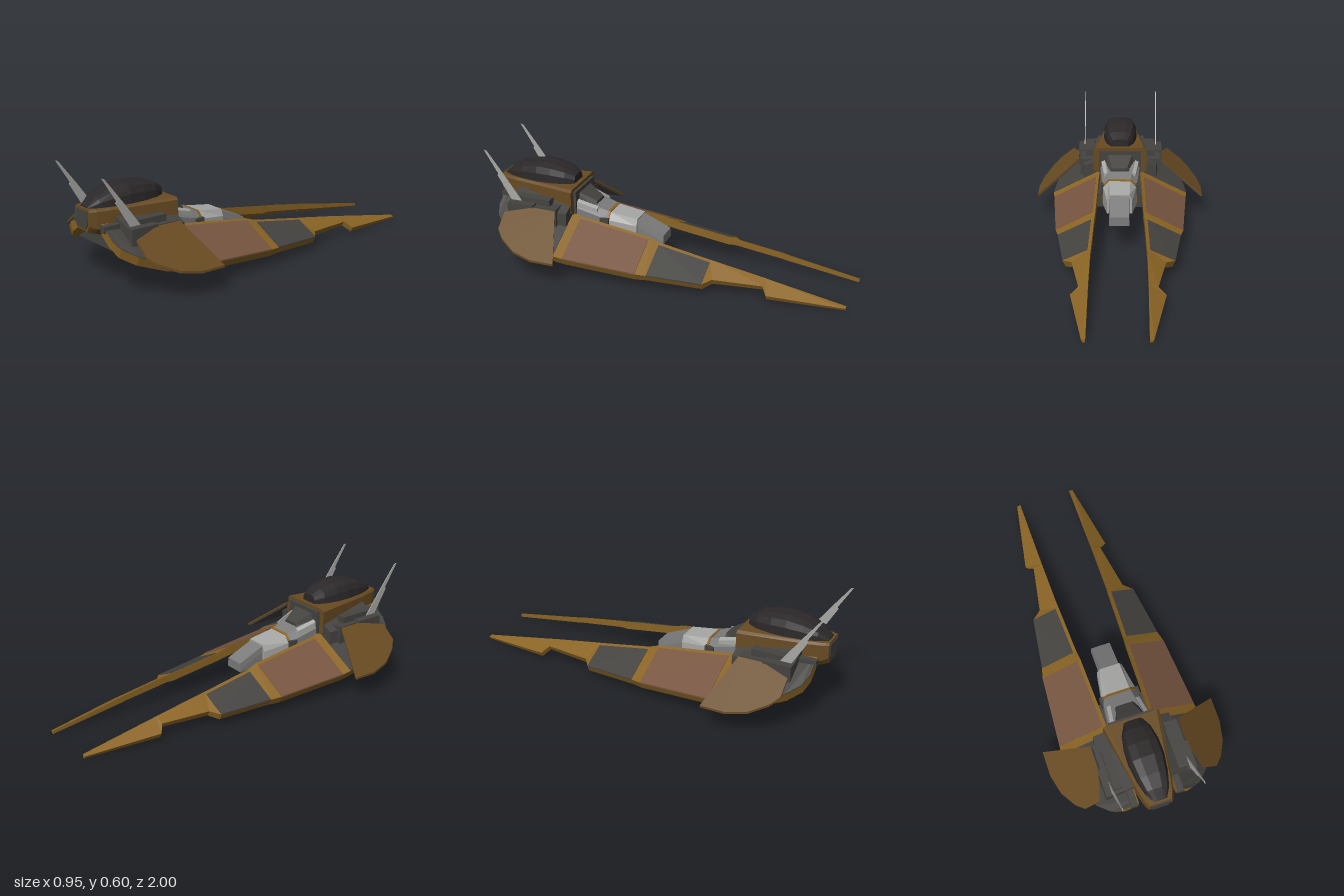
import * as THREE from 'three';

const mat = (color) => new THREE.MeshStandardMaterial({ color, flatShading: true });
const GOLD = mat(0x8a6424), TAN = mat(0x684b22), BROWN = mat(0x775540), DARK = mat(0x444340);
const GLASS = mat(0x2c2829), GREY = mat(0xa8a8a6), MID = mat(0x7c7c7c);

// Closed faceted solid skinned over rings of equal point count
function solid(rings) {
  const tris = [], n = rings[0].length, last = rings[rings.length - 1];
  for (let i = 0; i + 1 < rings.length; i++) {
    for (let j = 0; j < n; j++) {
      const k = (j + 1) % n, a = rings[i], b = rings[i + 1];
      tris.push([a[j], a[k], b[k]], [a[j], b[k], b[j]]);
    }
  }
  for (let j = 1; j + 1 < n; j++) {
    tris.push([rings[0][0], rings[0][j + 1], rings[0][j]], [last[0], last[j], last[j + 1]]);
  }
  // Turn the faces outward if the enclosed volume comes out negative
  const v = (p) => new THREE.Vector3(...p);
  const volume = tris.reduce((s, [a, b, c]) => s + v(a).dot(v(b).cross(v(c))), 0);
  if (volume < 0) tris.forEach((t) => t.reverse());
  const g = new THREE.BufferGeometry();
  g.setAttribute('position', new THREE.Float32BufferAttribute(tris.flat(2), 3));
  g.computeVertexNormals();
  return g;
}

function add(parent, name, geometry, material) {
  const m = new THREE.Mesh(geometry, material);
  m.name = name;
  parent.add(m);
  return m;
}

// Box given by its limits
function box(x0, x1, y0, y1, z0, z1) {
  return new THREE.BoxGeometry(Math.abs(x1 - x0), y1 - y0, z1 - z0)
    .translate((x0 + x1) / 2, (y0 + y1) / 2, (z0 + z1) / 2);
}

// Symmetric ring at z from right-half points listed top to bottom
const mirrored = (z, half) => [
  ...half.map(([x, y]) => [x, y, z]),
  ...half.slice().reverse().map(([x, y]) => [-x, y, z]),
];

// Wing stations: z, inner x, inner y, outer x, outer y, thickness
const WING = [
  [0.94, 0.10, 0.345, 0.19, 0.285, 0.045], [0.92, 0.10, 0.342, 0.24, 0.25, 0.05],
  [0.86, 0.10, 0.335, 0.30, 0.215, 0.05], [0.72, 0.10, 0.31, 0.36, 0.165, 0.045],
  [0.53, 0.11, 0.275, 0.385, 0.135, 0.04], [0.48, 0.12, 0.26, 0.38, 0.125, 0.04],
  [0.08, 0.13, 0.21, 0.35, 0.095, 0.04], [0.02, 0.135, 0.19, 0.335, 0.09, 0.035],
  [-0.27, 0.145, 0.145, 0.295, 0.075, 0.035], [-0.31, 0.147, 0.14, 0.245, 0.085, 0.03],
  [-0.57, 0.15, 0.098, 0.2, 0.075, 0.025], [-0.6, 0.15, 0.092, 0.24, 0.045, 0.025],
  [-1, 0.15, 0.02, 0.17, 0.015, 0.013],
];

function wing(parent, s) {
  add(parent, 'wing', solid(WING.map(([z, xi, yi, xo, yo, t]) => [
    [s * xi, yi, z], [s * xo, yo, z], [s * (xo - t * 0.5), yo - t, z], [s * xi, yi - t * 1.3, z],
  ])), GOLD);
  // Coloured skins laid over the upper face
  const skin = (name, from, to, material) => add(parent, name,
    solid(WING.slice(from, to + 1).map(([z, xi, yi, xo, yo]) => {
      const x = xi + 0.018, y = yi - 0.018 * (yi - yo) / (xo - xi);
      return [[s * x, y + 0.003, z], [s * xo, yo + 0.003, z], [s * xo, yo - 0.004, z], [s * x, y - 0.004, z]];
    })), material);
  skin('wingFrontSkin', 0, 4, DARK);
  skin('wingMiddleSkin', 5, 6, BROWN);
  skin('wingRearSkin', 7, 8, DARK);
}

// Thin curved-outline panel sloping down and outward
function sideFin(parent, s) {
  const outline = [[0.24, 0.58], [0.24, 0.71], [0.28, 0.86], [0.36, 0.86], [0.40, 0.82],
    [0.45, 0.73], [0.475, 0.62], [0.475, 0.485], [0.375, 0.525]];
  const layer = (d) => outline.map(([x, z]) => [s * x, 0.323 - 0.79 * (x - 0.24) + d, z]);
  add(parent, 'sideFin', solid([layer(0.002), layer(-0.01)]), TAN);
  const under = (d) => layer(d).map(([x, y, z]) => [s * 0.35 + (x - s * 0.35) * 0.94,
    y + s * 0.79 * (x - s * 0.35) * 0.06, 0.68 + (z - 0.68) * 0.94]);
  add(parent, 'sideFinLining', solid([under(-0.009), under(-0.018)]), DARK);
}

function sidePods(parent, s) {
  add(parent, 'frontPod', box(s * 0.14, s * 0.245, 0.2, 0.335, 0.71, 0.86), DARK);
  add(parent, 'rearPod', box(s * 0.13, s * 0.23, 0.2, 0.325, 0.58, 0.71), DARK);
  add(parent, 'podRidge', box(s * 0.15, s * 0.2, 0.32, 0.36, 0.63, 0.84), DARK);
  add(parent, 'noseGun', box(s * 0.105, s * 0.14, 0.305, 0.34, 0.8, 0.95), DARK);
  // Swept blade antenna
  const blade = [[0.34, 0.79], [0.34, 0.85], [0.47, 0.927], [0.48, 0.922], [0.605, 1], [0.6, 0.985], [0.47, 0.885]];
  add(parent, 'antenna', solid([0.208, 0.213].map((x) => blade.map(([y, z]) => [s * x, y, z]))), GREY);
}

export function createModel() {
  const model = new THREE.Group();
  model.name = 'fighterCraft';

  for (const s of [1, -1]) {
    const side = new THREE.Group();
    side.name = s > 0 ? 'leftSide' : 'rightSide';
    wing(side, s);
    sideFin(side, s);
    sidePods(side, s);
    model.add(side);
  }

  // Central hull and belly
  add(model, 'hull', solid([0.86, 0.53].map((z) =>
    mirrored(z, [[0.1, 0.37], [0.245, 0.32], [0.245, 0.18]].map(([x, y]) =>
      (z > 0.6 ? [x, y] : [x * 0.85, y - 0.02]))))), DARK);
  add(model, 'belly', box(-0.13, 0.13, 0.12, 0.2, 0.35, 0.64), DARK);

  // Cockpit tub: z, half width, bottom
  add(model, 'cockpitTub', solid([[0.525, 0.152, 0.25], [0.88, 0.095, 0.27], [0.95, 0.078, 0.285], [0.985, 0.064, 0.3]]
    .map(([z, w, b]) => mirrored(z, [[w * 0.9, 0.412], [w, 0.4], [w, b + 0.03], [w * 0.72, b]]))), TAN);
  add(model, 'nosePlate', solid([0.97, 0.99].map((z) =>
    mirrored(z, [[0.052, 0.402], [0.052, 0.335], [0.036, 0.312]]))), DARK);
  add(model, 'cockpitBackPlate', box(-0.12, 0.12, 0.26, 0.395, 0.51, 0.53), DARK);

  // Faceted canopy: z, half width, height
  add(model, 'canopy', solid([[0.548, 0.05, 0.045], [0.6, 0.078, 0.074], [0.68, 0.094, 0.093], [0.76, 0.096, 0.097],
    [0.85, 0.084, 0.08], [0.92, 0.065, 0.05], [0.972, 0.036, 0.008]]
    .map(([z, w, h]) => mirrored(z, [[w * 0.38, 0.41 + h], [w * 0.8, 0.41 + h * 0.86], [w * 0.96, 0.41 + h * 0.5], [w, 0.405]]))), GLASS);

  // Dorsal engine: z, half width at top, half width at bottom, top, bottom
  const spine = (list) => solid(list.map(([z, a, b, t, u]) =>
    mirrored(z, [[a, t], [b, t - 0.035], [b, u]])));
  add(model, 'engineFront', spine([[0.53, 0.085, 0.115, 0.34, 0.14], [0.34, 0.06, 0.095, 0.285, 0.14]]), MID);
  add(model, 'engineBand', spine([[0.345, 0.062, 0.098, 0.29, 0.15], [0.332, 0.062, 0.098, 0.286, 0.15]]), GOLD);
  add(model, 'engineRear', spine([[0.34, 0.06, 0.095, 0.284, 0.14], [0.18, 0.055, 0.07, 0.262, 0.15]]), GREY);
  add(model, 'exhaust', spine([[0.19, 0.052, 0.056, 0.258, 0.15], [0.1, 0.052, 0.056, 0.22, 0.145],
    [0.03, 0.052, 0.056, 0.19, 0.14]]), MID);
  add(model, 'engineCowl', solid([[0.53, 0.075, 0.385], [0.42, 0.04, 0.325]].map(([z, w, t]) =>
    mirrored(z, [[w, t], [w + 0.025, 0.29]]))), DARK);
  for (const s of [1, -1]) {
    add(model, 'engineBracket', box(s * 0.085, s * 0.108, 0.2, 0.26, 0.33, 0.38), DARK);
    add(model, 'engineRail', solid([[0.53, 0.09, 0.35], [0.4, 0.07, 0.31]].map(([z, x, y]) =>
      [[s * x, y, z], [s * (x + 0.02), y - 0.01, z], [s * (x + 0.02), y - 0.06, z], [s * x, y - 0.06, z]])), GREY);
  }
  return model;
}
